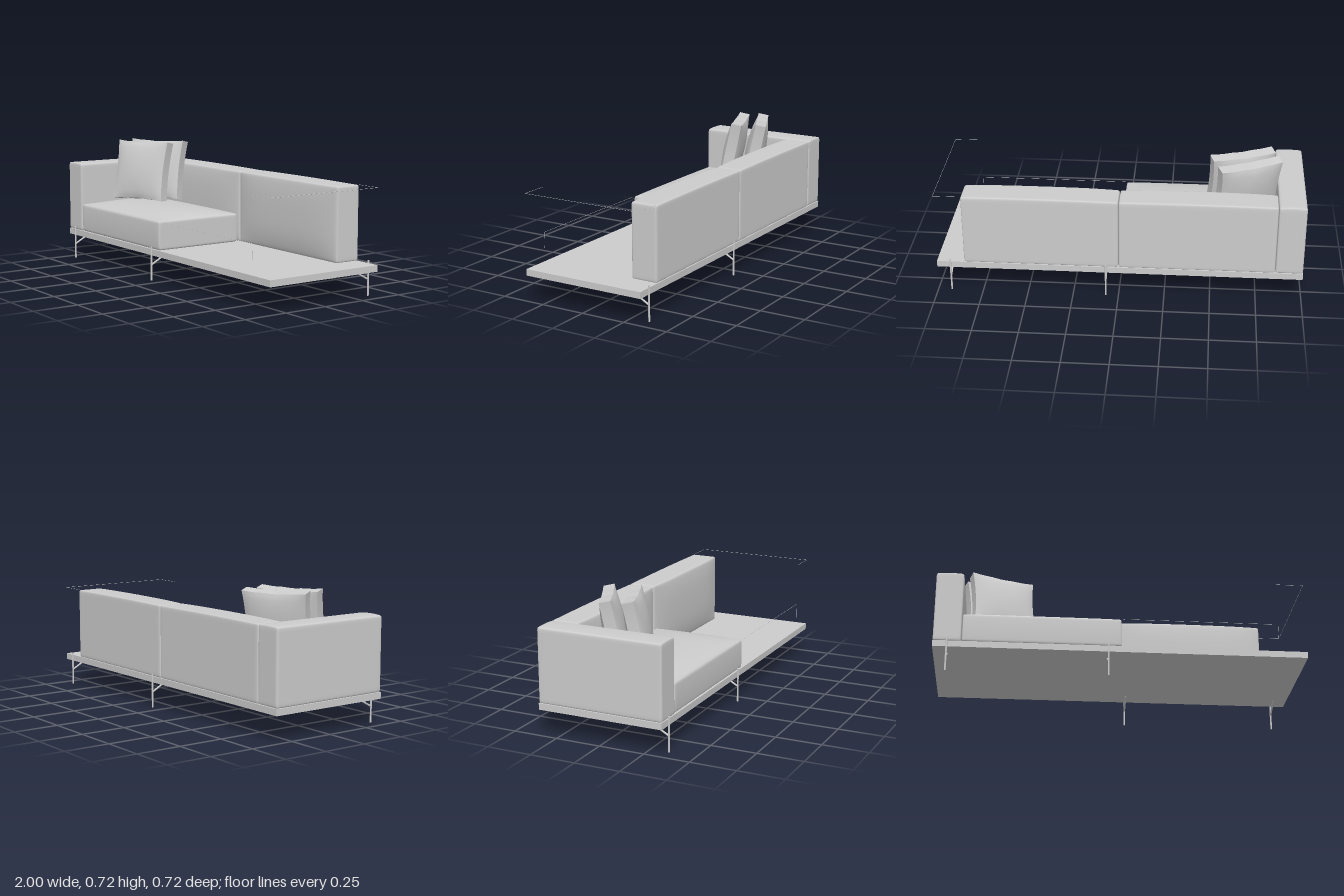
import * as THREE from 'three';
import { mergeVertices } from 'three/addons/utils/BufferGeometryUtils.js';

const grey = new THREE.MeshStandardMaterial({ color: 0xcccccc });
grey.name = 'light grey';

function addMesh(parent, name, geometry, x = 0, y = 0, z = 0) {
  const mesh = new THREE.Mesh(geometry, grey);
  mesh.name = name;
  mesh.position.set(x, y, z);
  parent.add(mesh);
  return mesh;
}

// Box with rounded edges; bulge(p, u, v, q) may shift each point (u, v, q run -1..1)
function softBox(w, h, d, r, bulge) {
  let geo = new THREE.BoxGeometry(2, 2, 2, 18, 18, 18);
  geo.deleteAttribute('normal');
  geo.deleteAttribute('uv');
  geo = mergeVertices(geo);
  const pos = geo.attributes.position;
  const half = new THREE.Vector3(w / 2, h / 2, d / 2);
  const limit = half.clone().subScalar(r);
  const low = limit.clone().negate();
  // Crowd the loops towards the edges
  const ease = (t) => Math.sign(t) * (1 - Math.pow(Math.max(0, 1 - Math.abs(t)), 2.4));
  const p = new THREE.Vector3();
  for (let i = 0; i < pos.count; i++) {
    const [u, v, q] = [ease(pos.getX(i)), ease(pos.getY(i)), ease(pos.getZ(i))];
    p.set(u, v, q).multiply(half);
    const inner = p.clone().clamp(low, limit);
    p.sub(inner).setLength(r).add(inner);
    bulge(p, u, v, q);
    pos.setXYZ(i, p.x, p.y, p.z);
  }
  geo.computeVertexNormals();
  return geo;
}

// Round bar between two points
function addBar(parent, name, a, b, radius, sides = 12) {
  const from = new THREE.Vector3(...a);
  const dir = new THREE.Vector3(...b).sub(from);
  const bar = addMesh(parent, name, new THREE.CylinderGeometry(radius, radius, dir.length(), sides));
  bar.position.copy(from).addScaledVector(dir, 0.5);
  bar.quaternion.setFromUnitVectors(new THREE.Vector3(0, 1, 0), dir.normalize());
}

// Square scatter pillow: pinched outline, flat side band, domed faces
function pillowGeometry() {
  const geo = new THREE.BoxGeometry(0.36, 0.35, 0.06, 20, 20, 6);
  const pos = geo.attributes.position;
  for (let i = 0; i < pos.count; i++) {
    const x = pos.getX(i), y = pos.getY(i), z = pos.getZ(i);
    const u = THREE.MathUtils.clamp(x / 0.18, -1, 1);
    const v = THREE.MathUtils.clamp(y / 0.175, -1, 1);
    const dome = Math.pow(Math.max(0, (1 - u * u) * (1 - v * v)), 0.7) * 0.028;
    const ripple = 0.0015 * Math.sin(9 * u + 5 * v) * (1 - u * u * v * v);
    pos.setXYZ(i,
      x * (1 - 0.06 * (1 - v * v)),
      y * (1 - 0.05 * (1 - u * u)) + ripple,
      z + (z / 0.03) * dome);
  }
  geo.computeVertexNormals();
  return geo;
}

export function createModel() {
  const sofa = new THREE.Group();
  sofa.name = 'sofa';

  // Platform
  addMesh(sofa, 'platform', new THREE.BoxGeometry(2, 0.035, 0.7), 0, 0.1575, 0);

  // Armrest
  addMesh(sofa, 'armrest', softBox(0.15, 0.402, 0.7, 0.012, (p, u, v) => {
    if (v > 0.9) p.y += 0.004 * (1 - u * u);
  }), -0.925, 0.376, 0);

  // Two back cushions with a softly swollen front
  for (const side of [-1, 1]) {
    addMesh(sofa, side < 0 ? 'rightBackrest' : 'leftBackrest',
      softBox(0.848, 0.402, 0.15, 0.011, (p, u, v, q) => {
        if (q > 0) p.z += 0.024 * q * (1 - u ** 4) * (1 - Math.pow(Math.abs(v - 0.1) / 1.1, 3));
        if (v > 0.9) p.y += 0.003 * (1 - u * u);
      }), side * 0.425, 0.376, -0.275);
  }

  // Crowned seat cushion
  addMesh(sofa, 'seatCushion', softBox(0.848, 0.162, 0.53, 0.012, (p, u, v, q) => {
    if (v > 0) p.y += 0.035 * v * (1 - u ** 4) * (1 - Math.pow(Math.abs(q), 2.4));
    p.z += 0.004 * q * (1 - v * v);
  }), -0.424, 0.256, 0.08);

  // Scatter pillows leaning back
  const pillow = pillowGeometry();
  [['frontPillow', -0.645, 0.538, 0.045, 0.36], ['rearPillow', -0.682, 0.538, -0.08, 0.44]]
    .forEach(([name, x, y, z, turn]) => {
      addMesh(sofa, name, pillow, x, y, z).rotation.set(-0.2, turn, 0, 'YXZ');
    });

  // Thin legs with slanted braces under the platform
  for (const [x, s] of [[-0.925, 1], [-0.07, 1], [0.07, -1], [0.925, -1]]) {
    const leg = new THREE.Group();
    leg.name = 'leg';
    addBar(leg, 'legPost', [x, 0, s * 0.353], [x, 0.19, s * 0.353], 0.005);
    addBar(leg, 'legBrace', [x, 0.087, s * 0.353], [x, 0.142, s * 0.253], 0.005);
    sofa.add(leg);
  }

  // Fine open piping at the uncushioned end
  const piping = new THREE.Group();
  piping.name = 'piping';
  const runs = [
    [[0.85, 0.578, 0.345], [0.998, 0.578, 0.345], [0.998, 0.578, -0.345], [0.85, 0.578, -0.345]],
    [[0.01, 0.335, 0.345], [0.848, 0.335, 0.345], [0.848, 0.25, 0.345]],
  ];
  for (const run of runs) {
    for (let i = 1; i < run.length; i++) addBar(piping, 'pipingRun', run[i - 1], run[i], 0.0008, 6);
  }
  sofa.add(piping);

  return sofa;
}
